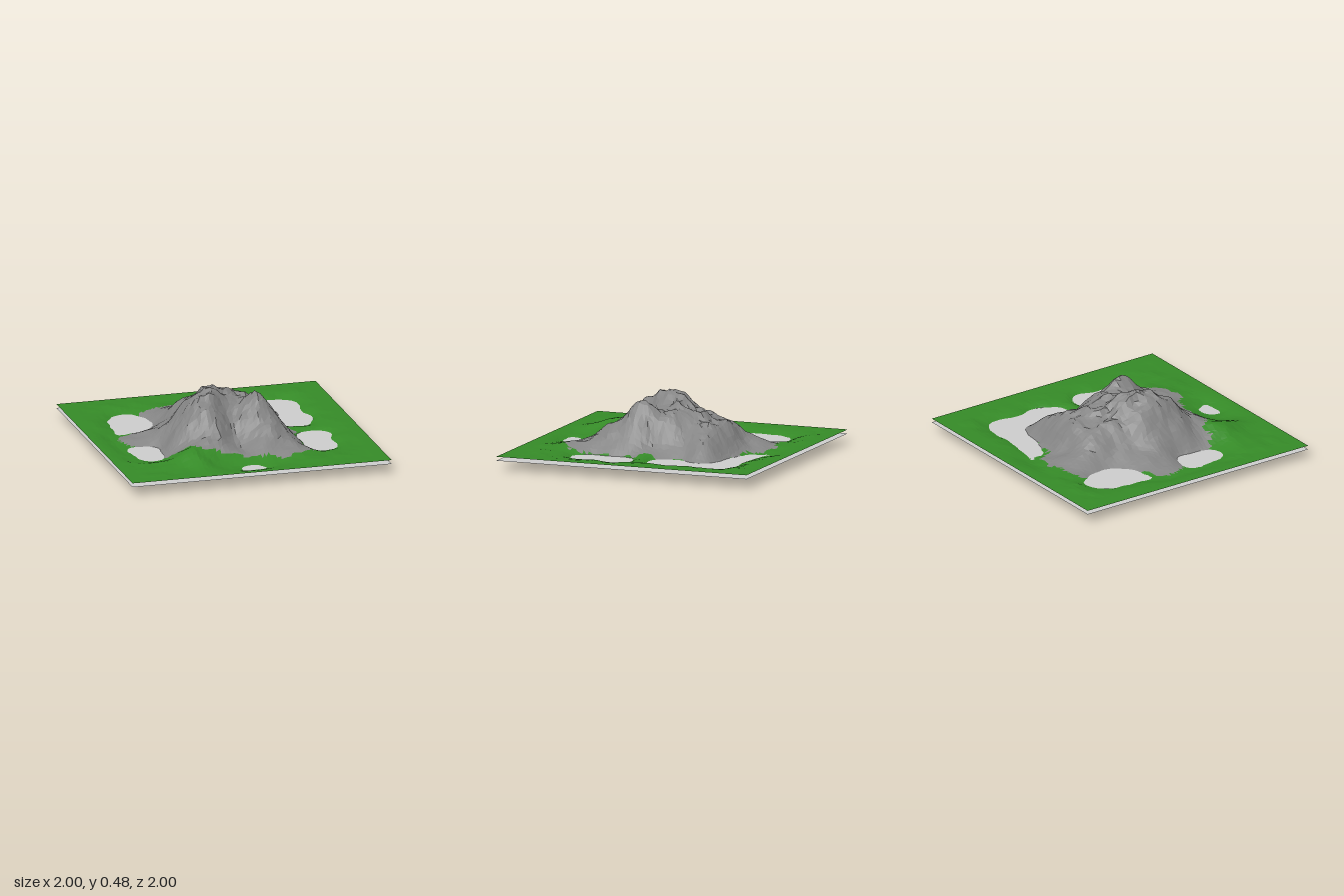
import * as THREE from 'three';

const WATER_LEVEL = 0.07;
const EDGE_LEVEL = 0.1;
const SEGMENTS = 60;

// Coarse relief in hundredths of a unit: rows run back to front, columns left to right, 0.2 apart
const RELIEF = [
  [10, 10, 9.5, 9, 7, 8, 9, 9, 10],
  [9.5, 4, 8.5, 14, 10, 6, 4, 3, 9],
  [8.5, 1, 10, 24, 30, 26, 18, 4, 9],
  [7, 9, 16, 32, 38, 30, 13, 1, 9],
  [8, 11, 24, 44, 43, 36, 14, 9, 9.5],
  [7, 4, 24, 44, 30, 42, 18, 0, 8.5],
  [8, 6, 17, 26, 14, 25, 15, 2, 9],
  [10, 12, 18, 14, 11, 13, 13, 9, 9.5],
  [10, 10, 12, 8, 6, 9, 11, 10.5, 10],
];

// Foot of the bare rock, as x, z points
const ROCK_OUTLINE = [
  [-0.46, -0.7], [-0.2, -0.75], [0, -0.73], [0.03, -0.62], [0.2, -0.6], [0.58, -0.55],
  [0.58, -0.38], [0.47, -0.25], [0.52, -0.1], [0.47, 0], [0.54, 0.2], [0.5, 0.45],
  [0.54, 0.6], [0.3, 0.74], [0.1, 0.65], [-0.2, 0.59], [-0.4, 0.5], [-0.62, 0.42],
  [-0.64, 0.2], [-0.78, 0], [-0.78, -0.15], [-0.6, -0.27], [-0.5, -0.4],
];

const clamp = THREE.MathUtils.clamp;

// Seeded value for a lattice point, 0 to 1
function hash(i, j, seed) {
  const s = Math.sin(i * 127.1 + j * 311.7 + seed * 74.7) * 43758.5453;
  return s - Math.floor(s);
}

// Smooth noise, -1 to 1
function noise(x, z, seed) {
  const i = Math.floor(x), j = Math.floor(z);
  const u = THREE.MathUtils.smoothstep(x - i, 0, 1);
  const v = THREE.MathUtils.smoothstep(z - j, 0, 1);
  const a = THREE.MathUtils.lerp(hash(i, j, seed), hash(i + 1, j, seed), u);
  const b = THREE.MathUtils.lerp(hash(i, j + 1, seed), hash(i + 1, j + 1, seed), u);
  return THREE.MathUtils.lerp(a, b, v) * 2 - 1;
}

function cubic(a, b, c, d, t) {
  return b + 0.5 * t * (c - a + t * (2 * a - 5 * b + 4 * c - d + t * (3 * (b - c) + d - a)));
}

// Bicubic reading of the coarse relief; outside it the ground is level
function relief(x, z) {
  const gx = (x + 0.8) / 0.2, gz = (z + 0.8) / 0.2;
  const i = Math.floor(gx), j = Math.floor(gz);
  const at = (c, r) => RELIEF[r]?.[c] ?? EDGE_LEVEL * 100;
  const rows = [-1, 0, 1, 2].map((r) =>
    cubic(at(i - 1, j + r), at(i, j + r), at(i + 1, j + r), at(i + 2, j + r), gx - i));
  return cubic(...rows, gz - j) / 100;
}

// Final ground height: relief, summit, sharp gullies and small bumps
function groundHeight(x, z) {
  const inset = clamp((1 - Math.max(Math.abs(x), Math.abs(z))) / 0.15, 0, 1);
  const wx = x + 0.025 * inset * noise(x * 7, z * 7, 1);
  const wz = z + 0.025 * inset * noise(x * 7, z * 7, 2);
  let h = relief(wx, wz);
  h += 0.03 * Math.exp(-((x + 0.1) ** 2 + (z + 0.02) ** 2) / 0.004);
  const steep = clamp((h - 0.1) / 0.2, 0, 1);
  const gullies = 0.45 - Math.abs(noise(x * 9, z * 9, 3)) - 0.4 * Math.abs(noise(x * 19, z * 19, 4));
  h += steep * 0.045 * gullies;
  h += inset * (0.005 + 0.008 * steep) * noise(x * 14, z * 14, 5);
  h = THREE.MathUtils.lerp(EDGE_LEVEL, h, inset);
  return clamp(h, 0, 0.485);
}

function insideRock(x, z) {
  const px = x + 0.03 * noise(x * 12, z * 12, 6);
  const pz = z + 0.03 * noise(x * 12, z * 12, 7);
  let inside = false;
  ROCK_OUTLINE.forEach(([ax, az], k) => {
    const [bx, bz] = ROCK_OUTLINE[(k + 1) % ROCK_OUTLINE.length];
    if ((az > pz) !== (bz > pz) && px < ax + ((pz - az) / (bz - az)) * (bx - ax)) inside = !inside;
  });
  return inside;
}

// Jittered sheet of ground raised to its heights
function buildGround() {
  const sheet = new THREE.PlaneGeometry(2, 2, SEGMENTS, SEGMENTS).rotateX(-Math.PI / 2);
  const p = sheet.attributes.position;
  const jitter = 0.5 * (2 / SEGMENTS);
  for (let k = 0; k < p.count; k++) {
    let x = p.getX(k), z = p.getZ(k);
    if (Math.max(Math.abs(x), Math.abs(z)) < 0.999) {
      x += jitter * (hash(k, 1, 8) - 0.5);
      z += jitter * (hash(k, 2, 9) - 0.5);
    }
    p.setXYZ(k, x, groundHeight(x, z), z);
  }
  return sheet;
}

// Faceted mesh from the ground triangles whose centre passes the test
function groundPart(sheet, name, color, test) {
  const p = sheet.attributes.position, all = sheet.index.array, kept = [];
  for (let t = 0; t < all.length; t += 3) {
    const [a, b, c] = [all[t], all[t + 1], all[t + 2]];
    const x = (p.getX(a) + p.getX(b) + p.getX(c)) / 3;
    const z = (p.getZ(a) + p.getZ(b) + p.getZ(c)) / 3;
    if (test(x, z)) kept.push(a, b, c);
  }
  const indexed = new THREE.BufferGeometry();
  indexed.setAttribute('position', p);
  indexed.setIndex(kept);
  const geometry = indexed.toNonIndexed();
  geometry.computeVertexNormals();
  const material = new THREE.MeshStandardMaterial({ color, flatShading: true, side: THREE.DoubleSide });
  const mesh = new THREE.Mesh(geometry, material);
  mesh.name = name;
  return mesh;
}

export function createModel() {
  const model = new THREE.Group();
  model.name = 'mountainIsland';

  // Ground, split into bare rock and grass
  const sheet = buildGround();
  model.add(groundPart(sheet, 'mountainRock', 0x858585, insideRock));
  model.add(groundPart(sheet, 'grassland', 0x358a27, (x, z) => !insideRock(x, z)));

  // Flat water sheet showing in the hollows
  const water = new THREE.Mesh(
    new THREE.PlaneGeometry(2, 2).rotateX(-Math.PI / 2),
    new THREE.MeshStandardMaterial({ color: 0xcccccc, side: THREE.DoubleSide }),
  );
  water.name = 'waterSurface';
  water.position.y = WATER_LEVEL;
  model.add(water);

  return model;
}
